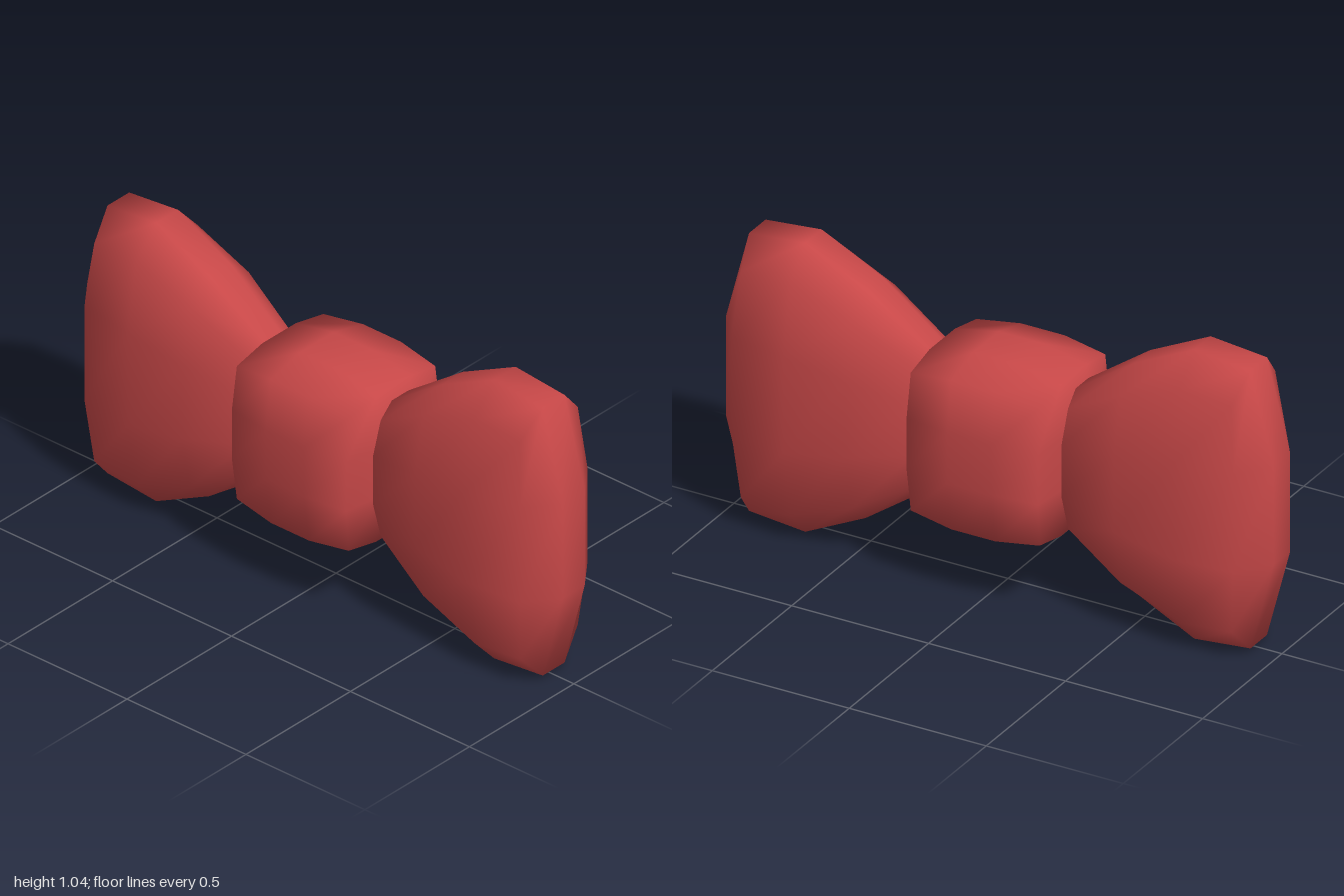
import * as THREE from 'three';
import { mergeVertices } from 'three/addons/utils/BufferGeometryUtils.js';

// Soft block: a 3x3x3 box whose four columns of vertices follow given sections.
// Section: x, half height, half depth, corner x / y / z, inner y, inner z.
function softBlock(sections, capStart, capEnd, side = 1) {
  const geometry = new THREE.BoxGeometry(3, 3, 3, 3, 3, 3);
  geometry.deleteAttribute('uv');
  geometry.deleteAttribute('normal');
  const p = geometry.attributes.position;
  for (let i = 0; i < p.count; i++) {
    const column = Math.round(side * p.getX(i) + 1.5);
    const [sx, height, depth, cornerX, cornerY, cornerZ, innerY, innerZ] = sections[column];
    const outerY = Math.abs(p.getY(i)) > 1;
    const outerZ = Math.abs(p.getZ(i)) > 1;
    let x = sx, y = innerY, z = innerZ;
    if (outerY && outerZ) { x = cornerX; y = cornerY; z = cornerZ; }
    else if (outerY) y = height;
    else if (outerZ) z = depth;
    else x = column === 0 ? capStart : capEnd;
    p.setXYZ(i, side * x, Math.sign(p.getY(i)) * y, Math.sign(p.getZ(i)) * z);
  }
  const smooth = mergeVertices(geometry);
  smooth.computeVertexNormals();
  return smooth;
}

export function createModel() {
  const group = new THREE.Group();
  group.name = 'bowTie';
  const red = new THREE.MeshStandardMaterial({ color: 0xc84848 });
  red.name = 'red cloth';

  const add = (name, geometry, y) => {
    const mesh = new THREE.Mesh(geometry, red);
    mesh.name = name;
    mesh.position.y = y;
    group.add(mesh);
  };

  // Centre knot
  const knot = [
    [-0.24, 0.27, 0.225, -0.235, 0.247, 0.207, 0.09, 0.08],
    [-0.08, 0.303, 0.245, -0.08, 0.267, 0.22, 0.09, 0.08],
    [0.08, 0.303, 0.245, 0.08, 0.267, 0.22, 0.09, 0.08],
    [0.24, 0.27, 0.225, 0.235, 0.247, 0.207, 0.09, 0.08],
  ];
  add('knot', softBlock(knot, -0.26, 0.26), 0.525);

  // Mirrored wings flaring outwards
  const wing = [
    [0.27, 0.255, 0.13, 0.28, 0.215, 0.105, 0.09, 0.04],
    [0.49, 0.41, 0.18, 0.49, 0.335, 0.14, 0.135, 0.05],
    [0.71, 0.518, 0.19, 0.71, 0.415, 0.148, 0.17, 0.052],
    [0.915, 0.498, 0.162, 0.895, 0.405, 0.138, 0.175, 0.052],
  ];
  for (const side of [1, -1]) {
    add(side > 0 ? 'leftWing' : 'rightWing', softBlock(wing, 0.24, 1, side), 0.519);
  }
  return group;
}
